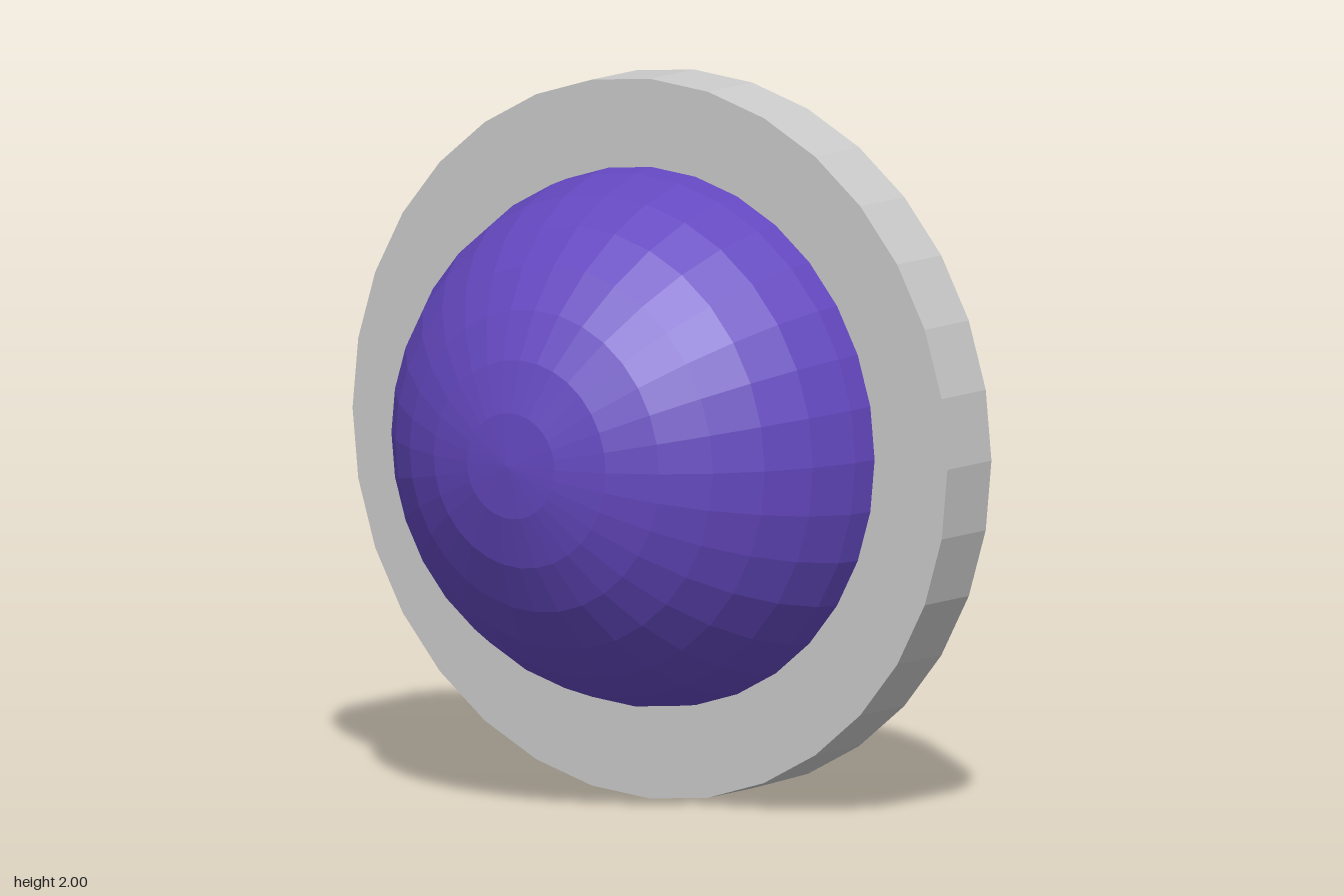
import * as THREE from 'three';

const SIDES = 32;

export function createModel() {
  const group = new THREE.Group();

  // Round base: straight rim at the front, chamfered towards a flat back
  const profile = [[0, -0.6], [0.68, -0.6], [1, -0.3], [1, -0.09], [0, -0.09]]
    .map(([r, z]) => new THREE.Vector2(r, z));
  const base = new THREE.Mesh(
    new THREE.LatheGeometry(profile, SIDES).rotateX(Math.PI / 2),
    new THREE.MeshStandardMaterial({ color: 0xcccccc, flatShading: true })
  );
  base.name = 'base';
  base.position.y = 1;

  // Dome: half sphere with its pole facing forwards, sunk slightly into the base
  const dome = new THREE.Mesh(
    new THREE.SphereGeometry(0.755, SIDES, 8, 0, Math.PI * 2, 0, Math.PI / 2).rotateX(Math.PI / 2),
    new THREE.MeshStandardMaterial({ color: 0x6448c0, flatShading: true })
  );
  dome.name = 'dome';
  dome.position.set(0.007, 1.007, -0.157);

  group.add(base, dome);
  return group;
}
